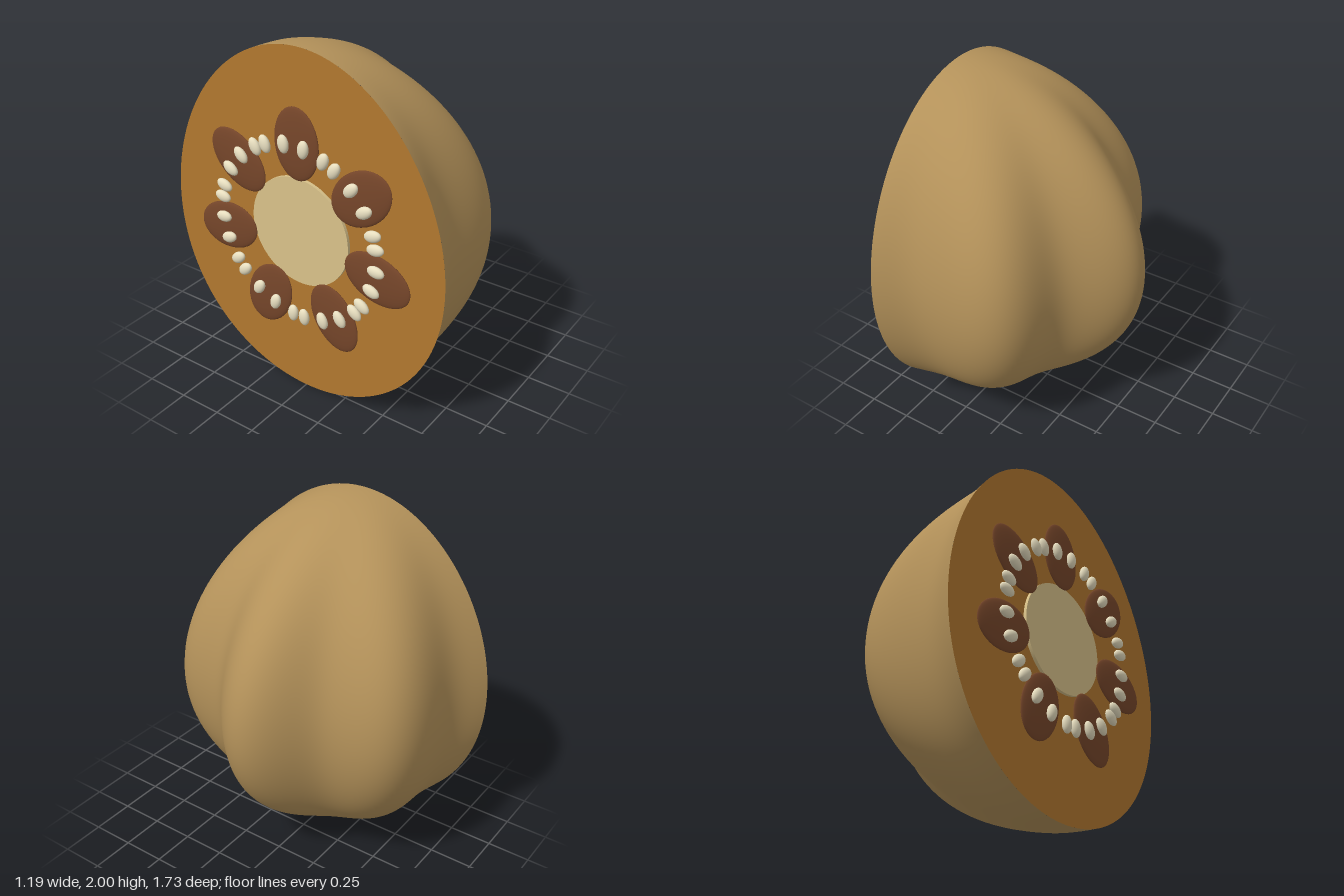
import * as THREE from 'three';

const CUT_X = -0.53;   // plane of the cut
const DEPTH = 1.04;    // base depth along +x
const WIDTH = 0.865;   // half width along z
const RIBS = 7;
const TAPER = 0.07;    // slightly narrower towards the top

function material(name, color) {
  const m = new THREE.MeshStandardMaterial({ color });
  m.name = name;
  return m;
}

// Half pod: a half sphere pushed out into ribs that fade towards the poles
function podGeometry() {
  const geo = new THREE.SphereGeometry(1, 128, 72, Math.PI / 2, Math.PI);
  const pos = geo.attributes.position;
  for (let i = 0; i < pos.count; i++) {
    const x = pos.getX(i), y = pos.getY(i), z = pos.getZ(i);
    const fade = 1 - Math.pow(Math.abs(y), 2.5);
    const rib = 1 + 0.08 * Math.cos(RIBS * Math.atan2(z, x)) * fade;
    const k = rib * (1 - TAPER * y);
    pos.setXYZ(i, CUT_X + Math.max(0, x) * DEPTH * k, 1 + y, z * WIDTH * k);
  }
  geo.computeVertexNormals();
  return geo;
}

// Flat cut face following the open rim of the pod
function cutGeometry() {
  const points = [];
  for (let i = 0; i < 128; i++) {
    const a = (i / 128) * Math.PI * 2;
    const y = Math.sin(a);
    points.push(new THREE.Vector2(Math.cos(a) * WIDTH * (1 - TAPER * y), 1 + y));
  }
  const geo = new THREE.ShapeGeometry(new THREE.Shape(points));
  geo.rotateY(-Math.PI / 2);
  geo.translate(CUT_X, 0, 0);
  return geo;
}

export function createModel() {
  const group = new THREE.Group();
  group.name = 'halvedPod';

  const shellMat = material('tan shell', 0xb4925a);
  const fleshMat = material('golden brown flesh', 0xb1782f);
  const chamberMat = material('brown chamber', 0x76462a);
  const coreMat = material('pale core', 0xd9c28a);
  const seedMat = material('cream seed', 0xe8dfc0);

  const add = (name, geo, mat) => {
    const mesh = new THREE.Mesh(geo, mat);
    mesh.name = name;
    group.add(mesh);
    return mesh;
  };

  add('shell', podGeometry(), shellMat);
  add('cutFace', cutGeometry(), fleshMat);

  // Thin round core in the middle of the cut
  const core = add('core', new THREE.CylinderGeometry(0.31, 0.31, 0.018, 64), coreMat);
  core.rotation.z = Math.PI / 2;
  core.position.set(CUT_X - 0.009, 1, 0);

  // Flattened ovals pointing outwards on a ring around the core
  const ball = new THREE.SphereGeometry(1, 28, 18);
  const addOval = (name, mat, angle, x, size) => {
    const oval = add(name, ball, mat);
    oval.scale.set(...size); // thickness, length outwards, width
    oval.position.set(x, 1 + 0.5 * Math.cos(angle), 0.5 * Math.sin(angle));
    oval.rotation.x = angle;
  };

  for (let i = 0; i < RIBS; i++) {
    const angle = (i / RIBS) * Math.PI * 2;
    addOval('seedChamber', chamberMat, angle, -0.549, [0.02, 0.2, 0.14]);
    // Four seeds for each chamber
    for (let j = 0; j < 4; j++) {
      addOval('seed', seedMat, angle + (j - 1.5) * 0.25, -0.577, [0.022, 0.05, 0.032]);
    }
  }
  return group;
}
